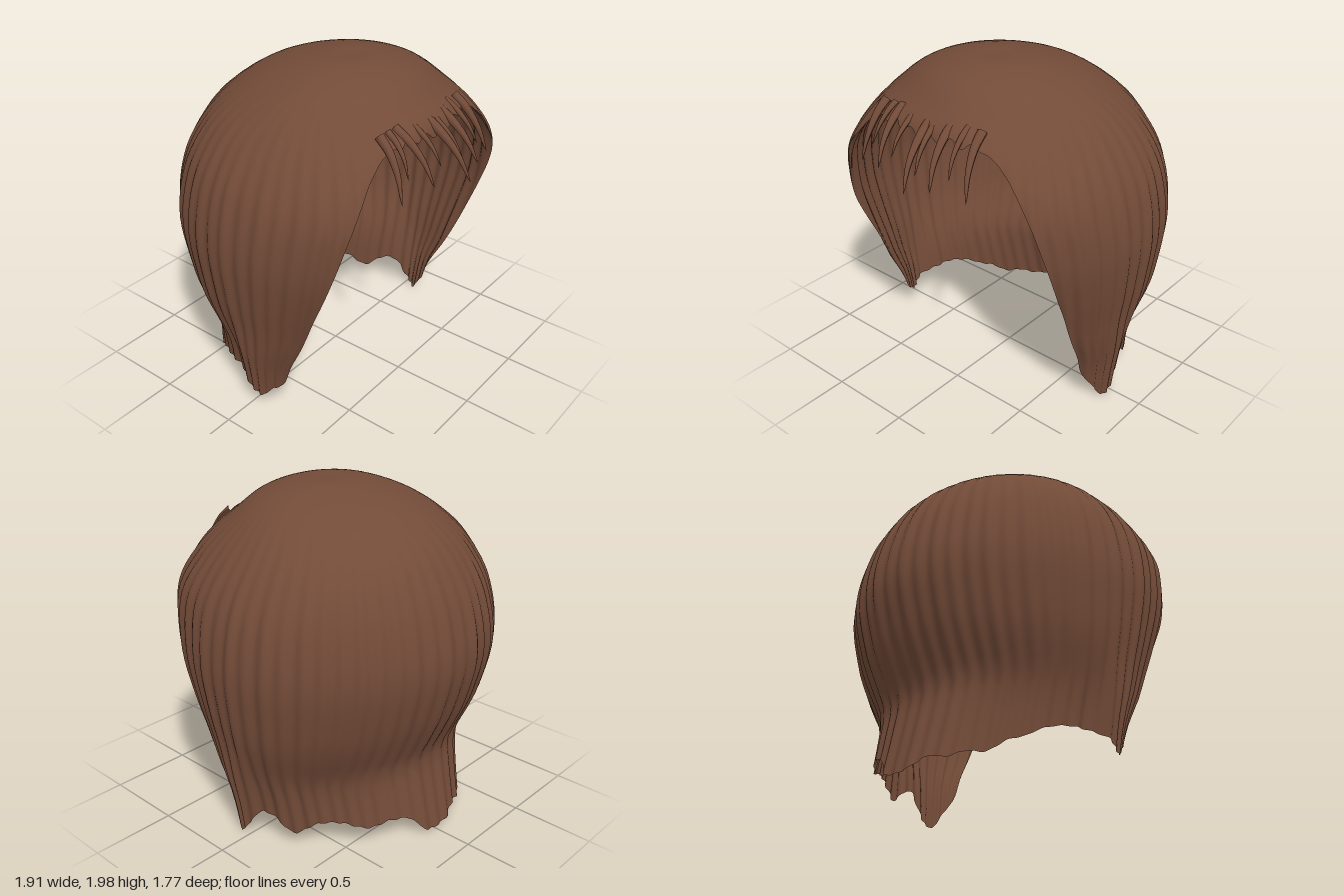
import * as THREE from 'three';

const brown = new THREE.MeshStandardMaterial({ color: 0x734b38 });
brown.name = 'brown hair';

// Smooth interpolation through [height, value] pairs, worked in sqrt(2 - height) so the crown is round
function profile(pairs) {
  const q = pairs.map(p => Math.sqrt(2 - p[0])), v = pairs.map(p => p[1]), n = q.length;
  const slope = i => {
    const a = Math.max(i - 1, 0), b = Math.min(i + 1, n - 1);
    return (v[b] - v[a]) / (q[b] - q[a]);
  };
  return x => {
    let i = 0;
    while (i < n - 2 && x > q[i + 1]) i++;
    const h = q[i + 1] - q[i], t = Math.min(Math.max((x - q[i]) / h, 0), 1), u = 1 - t;
    return u * u * (1 + 2 * t) * v[i] + t * t * (3 - 2 * t) * v[i + 1]
      + h * t * u * (u * slope(i) - t * slope(i + 1));
  };
}

const sideWidth = profile([[2, 0], [1.98, 0.19], [1.9, 0.44], [1.8, 0.6], [1.6, 0.79], [1.4, 0.895],
  [1.1, 0.945], [0.8, 0.92], [0.6, 0.885], [0.4, 0.86], [0.2, 0.825], [0, 0.8]]);
const backDepth = profile([[2, 0], [1.98, 0.16], [1.9, 0.44], [1.8, 0.57], [1.6, 0.73], [1.4, 0.825],
  [1.1, 0.875], [0.8, 0.81], [0.6, 0.725], [0.47, 0.67], [0.3, 0.695], [0, 0.76]]);
const frontDepth = profile([[2, 0], [1.98, 0.16], [1.9, 0.4], [1.8, 0.57], [1.7, 0.75], [1.6, 0.86],
  [1.4, 1], [1.2, 0.97], [1, 0.9], [0.8, 0.79], [0.5, 0.61], [0.3, 0.44], [0, 0.32]]);
const step = THREE.MathUtils.smoothstep;

// Point on the hair at angle a (0 = front, positive toward +x) and depth q below the crown
function hairPoint(a, q, inset) {
  const s = Math.sin(a), c = Math.cos(a), y = 2 - q * q;
  const ribs = step(q, 0.25, 0.9) * step(Math.abs(a), 0.3, 0.9)
    * (0.009 * Math.sin(54 * a + 0.9 * Math.sin(5 * a)) + 0.004 * Math.sin(23 * a + 1));
  // The nape is drawn in behind the side locks
  const tuck = 0.07 * step(Math.abs(a), 1.5, 1.75) * (1 - step(Math.abs(a), 2.3, 2.9)) * (1 - step(y, 0.3, 0.7));
  const k = 1 + ribs - tuck - inset;
  const zc = 0.1 * (1 - step(q, 0.2, 0.6));
  let z = zc + k * c * (c > 0 ? frontDepth(q) : backDepth(q));
  // Flatten the front
  if (z > 0.2) z = Math.pow(Math.pow(z, -12) + Math.pow(0.7 - 0.7 * inset, -12), -1 / 12);
  const dip = 0.022 * Math.exp(-Math.pow(q / 0.1, 2));
  return [k * s * sideWidth(q), y + 0.003 - dip - 0.6 * inset * (1 - step(q, 0.3, 1)), z];
}

// Lower edge as (angle, height): face opening, side tip, then ragged nape
const opening = [[0.3, 1.7], [0.57, 1.68], [0.7, 1.6], [0.83, 1.4], [0.88, 1.2], [0.92, 1], [0.95, 0.8], [1, 0.5],
  [1.05, 0.2]];
const leftEdge = [...opening, [1.18, 0.1], [1.32, 0.01], [1.42, 0.02], [1.57, 0.08], [1.64, 0.15], [1.72, 0.2],
  [1.85, 0.17], [1.98, 0.1], [2.08, 0.13], [2.2, 0.18], [2.4, 0.18], [2.6, 0.14], [2.75, 0.17], [2.92, 0.14],
  [3.05, 0.03]];
const rightEdge = [...opening, [1.2, 0.15], [1.33, 0.1], [1.45, 0.12], [1.6, 0.17], [1.75, 0.2], [2.05, 0.19],
  [2.2, 0.14], [2.32, 0.12], [2.45, 0.06], [2.58, 0.07], [2.7, 0.045], [2.85, 0.06], [3, 0.015]];
const edge = new THREE.CatmullRomCurve3([
  [-Math.PI, 0.01], ...rightEdge.map(([a, y]) => [-a, y]).reverse(), [0, 1.68], ...leftEdge, [Math.PI, 0.01],
].map(([a, y]) => new THREE.Vector3(a, y, 0)));
edge.arcLengthDivisions = 1500;

// Grid of meridians from the crown to the edge; the inner skin meets the outer one at the edge
function hairShell(thickness, inside) {
  const cols = 480, rows = 44, pos = [], index = [];
  const ends = edge.getSpacedPoints(cols);
  for (let j = 0; j < cols; j++) {
    const a = ends[j].x;
    const wave = Math.abs(a) < 0.6 ? 0.018 * Math.sin(32 * a) * (1 - step(Math.abs(a), 0.4, 0.6)) : 0;
    const end = Math.sqrt(2 - Math.max(ends[j].y + wave, 0));
    for (let i = 0; i <= rows; i++) {
      const t = i / rows;
      pos.push(...hairPoint(a, end * t, thickness * (1 - Math.pow(t, 8))));
    }
  }
  for (let j = 0; j < cols; j++) for (let i = 0; i < rows; i++) {
    const p = j * (rows + 1) + i, r = ((j + 1) % cols) * (rows + 1) + i;
    const tris = i ? [p, p + 1, r, r, p + 1, r + 1] : [p, p + 1, r + 1];
    index.push(...(inside ? tris.reverse() : tris));
  }
  const g = new THREE.BufferGeometry();
  g.setAttribute('position', new THREE.Float32BufferAttribute(pos, 3));
  g.setIndex(index);
  g.computeVertexNormals();
  return g;
}

// Curved lock that tapers to a point
function lockGeometry(rootX, tipX, tipY, tipZ, radius) {
  const drop = 1.77 - tipY, reach = tipZ - 0.58;
  const at = (f, d, o) => new THREE.Vector3(rootX + (tipX - rootX) * f, 1.77 - drop * d, 0.58 + reach * o);
  const curve = new THREE.CatmullRomCurve3([at(0, 0, 0), at(0.2, 0.2, 0.38), at(0.55, 0.55, 0.75), at(1, 1, 1)]);
  const n = 16, sides = 8, g = new THREE.TubeGeometry(curve, n, radius, sides);
  const p = g.attributes.position, v = new THREE.Vector3();
  for (let i = 0; i <= n; i++) {
    const centre = curve.getPointAt(i / n), k = Math.pow(1 - i / n, 0.65) + 0.02;
    for (let j = 0; j <= sides; j++) {
      const id = i * (sides + 1) + j;
      v.fromBufferAttribute(p, id).sub(centre).multiplyScalar(k).add(centre);
      p.setXYZ(id, v.x, v.y, v.z);
    }
  }
  g.computeVertexNormals();
  return g;
}

export function createModel() {
  const model = new THREE.Group();
  model.name = 'hair';
  const add = (name, geometry) => {
    const mesh = new THREE.Mesh(geometry, brown);
    mesh.name = name;
    model.add(mesh);
  };
  add('outerHair', hairShell(0, false));
  add('innerHair', hairShell(0.035, true));

  // Fringe: root x, tip x, tip y, tip z, radius
  [[-0.38, -0.42, 1.45, 0.76, 0.026], [-0.31, -0.345, 1.56, 0.74, 0.018], [-0.25, -0.22, 1.49, 0.82, 0.026],
    [-0.14, -0.135, 1.57, 0.8, 0.02], [-0.02, 0.03, 1.44, 0.885, 0.03], [0.025, 0.055, 1.53, 0.82, 0.022],
    [0.12, 0.175, 1.48, 0.84, 0.029], [0.22, 0.255, 1.55, 0.78, 0.02], [0.31, 0.37, 1.46, 0.78, 0.027],
  ].forEach((f, i) => add('fringeLock' + (i + 1), lockGeometry(...f)));
  return model;
}
